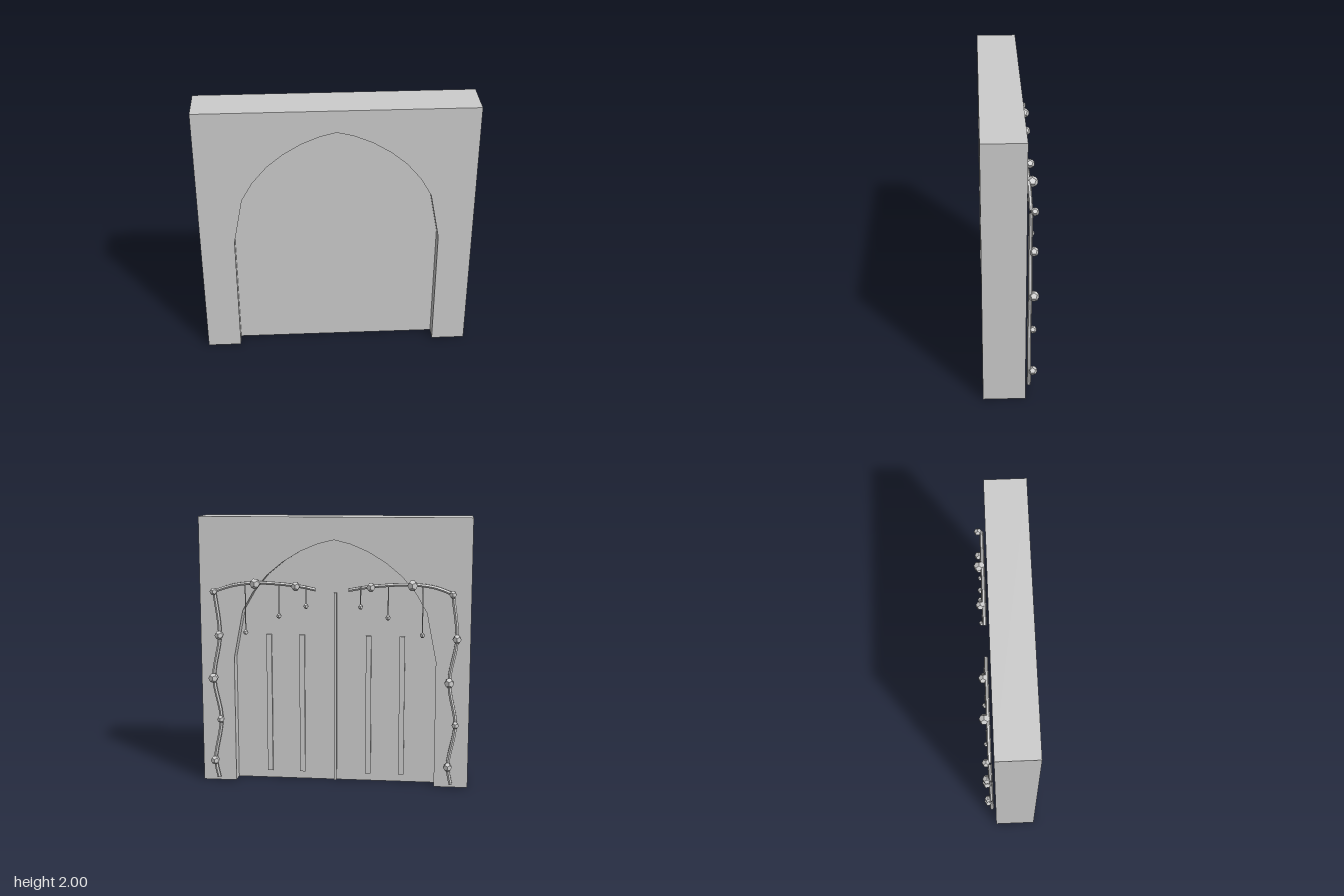
import * as THREE from 'three';

const stone = new THREE.MeshStandardMaterial({ color: 0xcccccc, flatShading: true });
stone.name = 'pale grey';

// Right half of the pointed arch, from the foot to the apex
const archHalf = [[0.75, 0], [0.75, 0.95], [0.68, 1.31], [0.6, 1.45], [0.495, 1.575],
  [0.38, 1.67], [0.25, 1.75], [0.12, 1.805], [0, 1.835]];
const archPoints = [...archHalf, ...archHalf.slice(0, -1).reverse().map(([x, y]) => [-x, y])];

function slab(points, z, depth) {
  const shape = new THREE.Shape(points.map(([x, y]) => new THREE.Vector2(x, y)));
  const g = new THREE.ExtrudeGeometry(shape, { depth, bevelEnabled: false });
  g.translate(0, 0, z);
  return g;
}

function vineTube(points, radius) {
  const curve = new THREE.CatmullRomCurve3(points.map(([x, y]) => new THREE.Vector3(x, y, -0.13)));
  return new THREE.TubeGeometry(curve, 24, radius, 6, false);
}

export function createModel() {
  const model = new THREE.Group();
  model.name = 'archedGateway';
  const add = (parent, name, geometry, x = 0, y = 0, z = 0) => {
    const m = new THREE.Mesh(geometry, stone);
    m.name = name;
    m.position.set(x, y, z);
    parent.add(m);
    return m;
  };

  // Wall with an arched opening, and the door panel set in its middle
  add(model, 'wall', slab([[1, 0], [1, 2], [-1, 2], [-1, 0], ...[...archPoints].reverse()], -0.1, 0.3));
  add(model, 'doorPanel', slab(archPoints, 0, 0.1));

  // Raised strips on the back of the door
  for (const x of [-0.5, -0.25, 0.25, 0.5]) {
    add(model, 'doorStrip', new THREE.BoxGeometry(0.04, 1.06, 0.02), x, 0.59, -0.01);
  }
  add(model, 'doorSeam', new THREE.BoxGeometry(0.02, 1.44, 0.02), 0, 0.72, -0.01);

  // Vines on the back: [x, y, bud radius] up the stem
  const stems = {
    left: [[0.9, 0.17, 0.034], [0.85, 0.49, 0.028], [0.9, 0.805, 0.038], [0.85, 1.13, 0.034], [0.885, 1.455, 0.029]],
    right: [[-0.85, 0.17, 0.034], [-0.9, 0.49, 0.028], [-0.85, 0.805, 0.038], [-0.9, 1.13, 0.034], [-0.865, 1.455, 0.029]],
  };
  for (const [side, s, tip] of [['left', 1, 0.13], ['right', -1, 0.11]]) {
    const vine = new THREE.Group();
    vine.name = side + 'Vine';
    model.add(vine);
    const stem = stems[side];
    const top = stem[stem.length - 1];

    add(vine, 'stem', vineTube([[s * 0.875, 0.03], ...stem], 0.015));
    add(vine, 'branch', vineTube([[top[0], top[1]], [s * 0.74, 1.5], [s * 0.57, 1.52],
      [s * 0.28, 1.503], [s * tip, 1.475]], 0.014));

    // Buds on stem and branch
    for (const [x, y, r] of [...stem, [s * 0.575, 1.515, 0.04], [s * 0.275, 1.5, 0.034]]) {
      add(vine, 'bud', new THREE.DodecahedronGeometry(r), x, y, -0.155);
    }

    // Small buds hanging on thin tendrils
    for (const [x, y] of [[0.65, 1.155], [0.4, 1.28], [0.2, 1.355]]) {
      const length = 1.505 - y;
      add(vine, 'tendril', new THREE.CylinderGeometry(0.004, 0.004, length, 5), s * x, y + length / 2, -0.145);
      add(vine, 'hangingBud', new THREE.DodecahedronGeometry(0.02), s * x, y, -0.15);
    }
  }
  return model;
}
